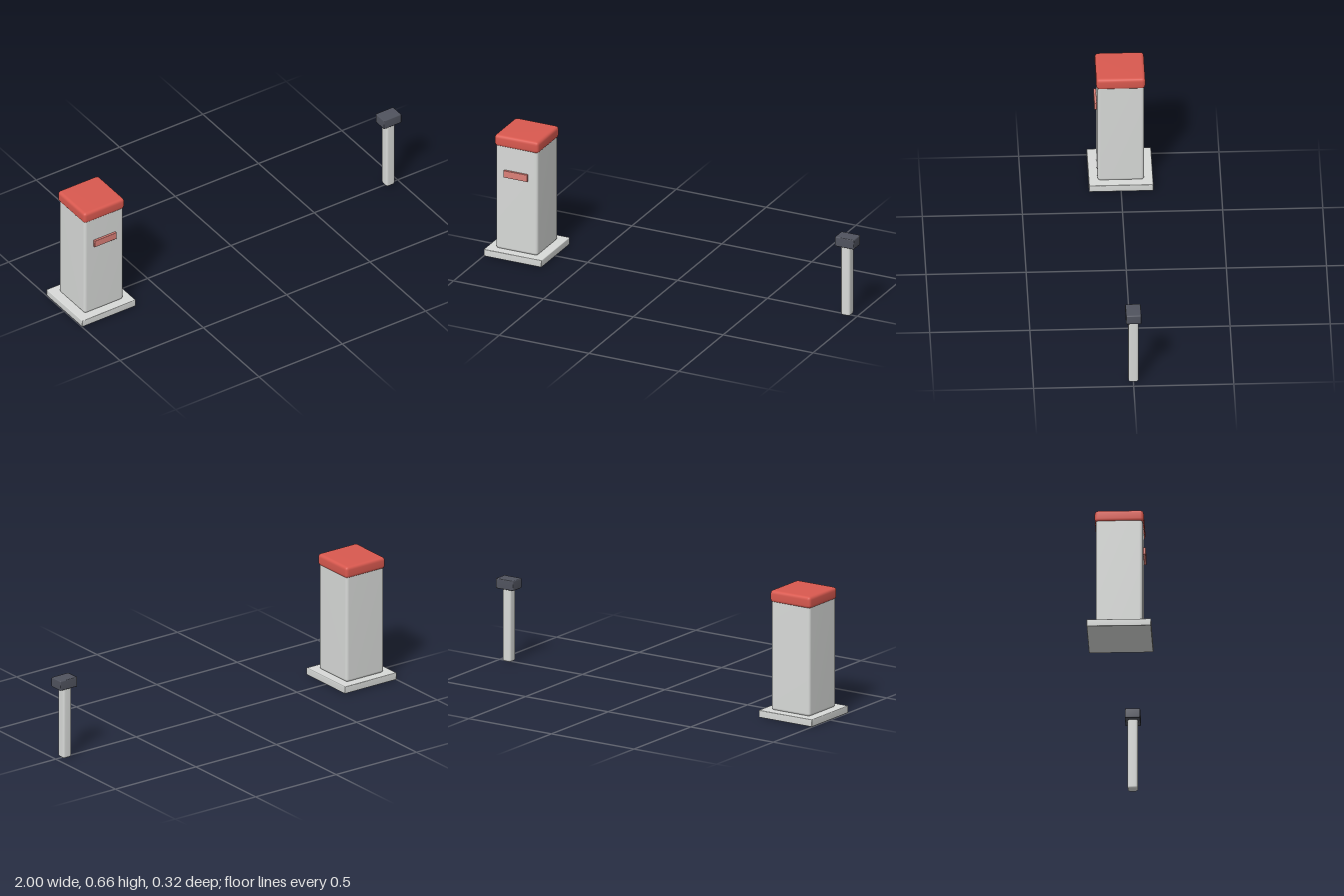
import * as THREE from 'three';
import { RoundedBoxGeometry } from 'three/addons/geometries/RoundedBoxGeometry.js';
import { mergeVertices } from 'three/addons/utils/BufferGeometryUtils.js';

function paint(name, hex) {
  const material = new THREE.MeshStandardMaterial({ color: hex });
  material.name = name;
  return material;
}

// Box with bevelled edges and normals blended across the bevels
function softBox(name, material, size, centre, bevel, segments = 1) {
  const box = new RoundedBoxGeometry(...size, segments, bevel);
  box.deleteAttribute('normal');
  box.deleteAttribute('uv');
  const geometry = mergeVertices(box, 1e-5);
  geometry.computeVertexNormals();
  const mesh = new THREE.Mesh(geometry, material);
  mesh.name = name;
  mesh.position.set(...centre);
  return mesh;
}

export function createModel() {
  const lightGrey = paint('light grey', 0xd8dad8);
  const red = paint('red', 0xd9594f);
  const paleRed = paint('pale red', 0xdc8078);
  const darkGrey = paint('dark grey', 0x50535e);

  // Cabinet on its plinth
  const cabinet = new THREE.Group();
  cabinet.name = 'cabinet';
  cabinet.position.x = -0.839;
  cabinet.add(
    softBox('plinth', lightGrey, [0.322, 0.038, 0.322], [0, 0.02, 0], 0.004),
    softBox('cabinetBody', lightGrey, [0.234, 0.58, 0.234], [0, 0.325, 0], 0.016, 2),
    softBox('cabinetCap', red, [0.245, 0.062, 0.245], [0, 0.626, 0], 0.017, 2),
    softBox('frontPlate', paleRed, [0.132, 0.038, 0.013], [0, 0.456, 0.1245], 0.002),
  );

  // Separate rest post with its dark head
  const restPost = new THREE.Group();
  restPost.name = 'restPost';
  restPost.position.x = 0.944;
  restPost.add(
    softBox('post', lightGrey, [0.051, 0.388, 0.051], [0, 0.196, 0], 0.012, 2),
    softBox('postHead', darkGrey, [0.106, 0.052, 0.077], [0.002, 0.404, 0], 0.005),
  );

  const model = new THREE.Group();
  model.name = 'barrierPosts';
  model.add(cabinet, restPost);
  return model;
}
